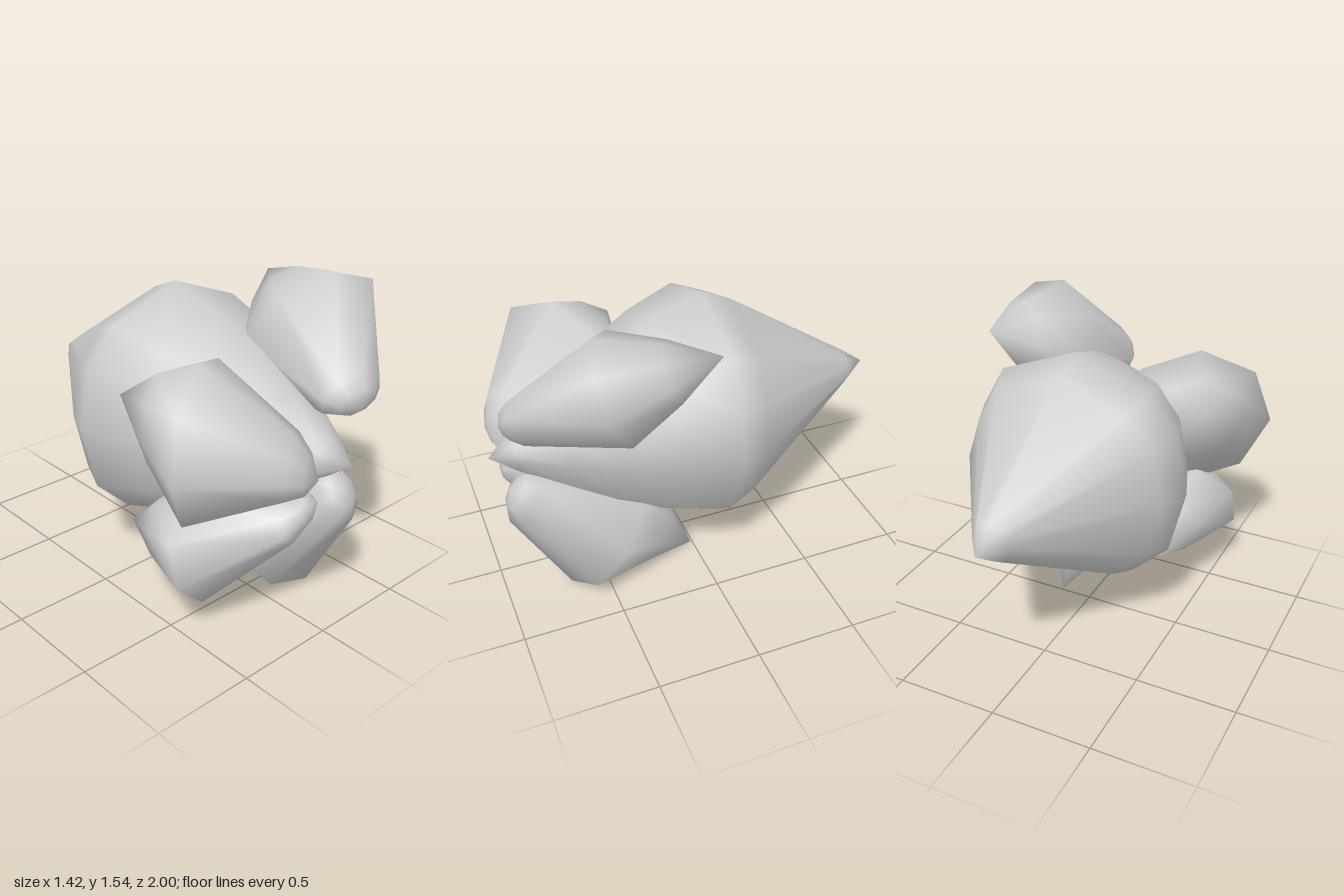
import * as THREE from 'three';

const V = (a) => new THREE.Vector3(...a);

// Closed faceted spindle with soft normals: back point, cross-section rings, front point
function spindle(name, back, rings, front) {
  const n = rings[0].length;
  const pos = [back, ...rings.flat(), front].flatMap((p) => p.toArray());
  const last = rings.length * n + 1;
  const id = (r, i) => 1 + r * n + (i % n);
  const index = [];
  for (let i = 0; i < n; i++) {
    index.push(0, id(0, i + 1), id(0, i));
    for (let r = 0; r < rings.length - 1; r++) {
      index.push(id(r, i), id(r, i + 1), id(r + 1, i + 1), id(r, i), id(r + 1, i + 1), id(r + 1, i));
    }
    index.push(id(rings.length - 1, i), id(rings.length - 1, i + 1), last);
  }
  const g = new THREE.BufferGeometry();
  g.setAttribute('position', new THREE.Float32BufferAttribute(pos, 3));
  g.setIndex(index);
  g.computeVertexNormals();
  const mesh = new THREE.Mesh(g, new THREE.MeshStandardMaterial({ color: 0xcccccc }));
  mesh.name = name;
  return mesh;
}

// Large crystal lying along z: an uneven outline shrunk towards both points
function mainCrystal() {
  const outline = [
    [0.62, 0.85], [0.55, 1.07], [0.43, 1.29], [0.04, 1.44], [-0.34, 1.3], [-0.49, 1.12],
    [-0.55, 0.83], [-0.47, 0.5], [-0.28, 0.32], [0.04, 0.27], [0.28, 0.31], [0.45, 0.45],
  ];
  // z position and scale of each ring
  const profile = [
    [-0.87, 0.165], [-0.23, 0.89], [-0.08, 1], [0.18, 0.86], [0.45, 0.64], [0.65, 0.42], [0.88, 0.16],
  ];
  const rings = profile.map(([z, k]) => {
    const lean = Math.max(0, z);
    return outline.map(([x, y]) => new THREE.Vector3(
      0.04 + 0.08 * lean + (x - 0.04) * k, 0.85 - 0.02 * lean + (y - 0.85) * k, z));
  });
  return spindle('mainCrystal', V([0.04, 0.85, -1]), rings, V([0.12, 0.83, 1]));
}

// Small crystal with eight sides: heel, belly, nose and rounded nose cap.
// size: belly half width and height; turn and roll in degrees; tilt: change of z per x and per y
function smallCrystal({ name, size, turn, roll = 0, tilt, back, belly, nose, front, noseScale, lift = 0 }) {
  const [b, m, s, f] = [back, belly, nose, front].map(V);
  const rad = THREE.MathUtils.degToRad;
  const ring = (center, k) => Array.from({ length: 8 }, (_, i) => {
    const a = rad(turn + i * 45);
    const d = new THREE.Vector2(Math.cos(a) * size[0], Math.sin(a) * size[1])
      .rotateAround(new THREE.Vector2(), rad(roll)).multiplyScalar(k);
    return new THREE.Vector3(d.x, d.y, tilt[0] * d.x + tilt[1] * d.y).add(center);
  });
  const heel = b.clone().lerp(m, 0.47);
  heel.y += lift;
  return spindle(name, b, [
    ring(heel, 0.55),
    ring(m, 1),
    ring(s, noseScale),
    ring(s.clone().lerp(f, 0.6), noseScale * 0.62),
  ], f);
}

export function createModel() {
  const group = new THREE.Group();
  group.name = 'crystalCluster';
  group.add(mainCrystal());

  // Four smaller crystals fanning out around the front point
  group.add(smallCrystal({
    name: 'upperLeftCrystal', size: [0.315, 0.265], turn: -30, roll: 32, tilt: [0.41, 0.41],
    back: [0.57, 1.42, 0.03], belly: [0.42, 1.27, 0.45],
    nose: [0.25, 1.09, 0.86], front: [0.22, 1.06, 0.95], noseScale: 0.42,
  }));
  group.add(smallCrystal({
    name: 'upperRightCrystal', size: [0.36, 0.375], turn: 4, tilt: [-0.6, 0],
    back: [-0.53, 1.1, 0.2], belly: [-0.34, 0.93, 0.52],
    nose: [-0.1, 0.85, 0.85], front: [-0.03, 0.79, 0.94], noseScale: 0.41,
  }));
  group.add(smallCrystal({
    name: 'lowerRightCrystal', size: [0.3, 0.265], turn: 22, tilt: [-0.38, -0.32],
    back: [-0.37, 0.34, 0.07], belly: [-0.3, 0.41, 0.5],
    nose: [-0.07, 0.58, 0.84], front: [0, 0.66, 0.92], noseScale: 0.4,
  }));
  group.add(smallCrystal({
    name: 'lowerLeftCrystal', size: [0.29, 0.27], turn: 10, tilt: [0, -0.73],
    back: [0.16, 0.01, 0.01], belly: [0.18, 0.3, 0.49],
    nose: [0.19, 0.62, 0.87], front: [0.18, 0.67, 0.93], noseScale: 0.43, lift: 0.04,
  }));
  return group;
}
